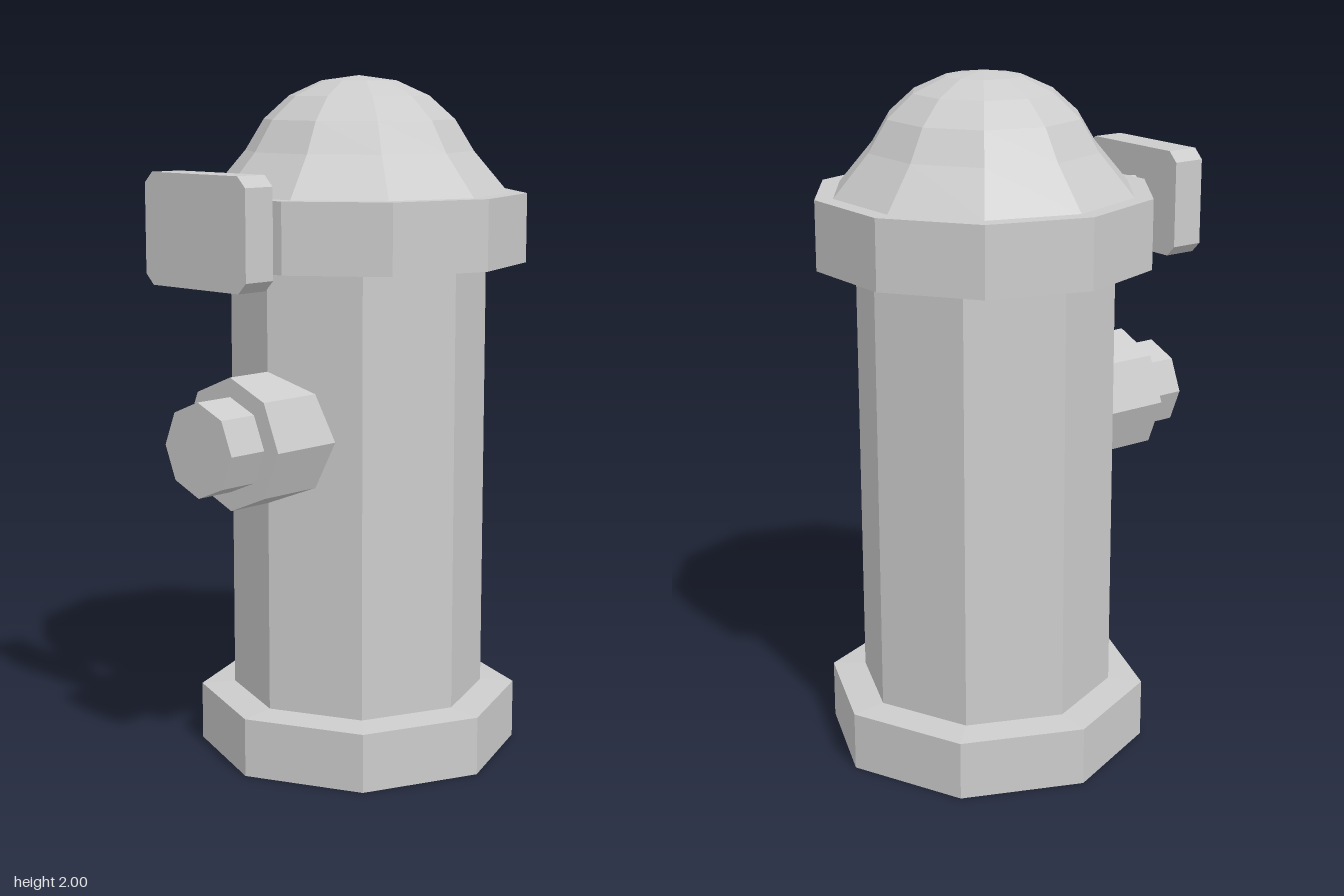
import * as THREE from 'three';

export function createModel() {
  const group = new THREE.Group();
  const axisZ = -0.085; // the barrel sits behind the origin to balance the front fittings
  const solid = new THREE.MeshStandardMaterial({ color: 0xcccccc, flatShading: true });
  const open = new THREE.MeshStandardMaterial({ color: 0xcccccc, flatShading: true, side: THREE.DoubleSide });

  function add(name, geometry, x, y, z, material = solid) {
    const mesh = new THREE.Mesh(geometry, material);
    mesh.name = name;
    mesh.position.set(x, y, z);
    group.add(mesh);
    return mesh;
  }

  // Faceted turning around the barrel axis, with a corner on the x axis
  function turned(name, profile, sides, material) {
    const points = profile.map(([r, y]) => new THREE.Vector2(r, y));
    add(name, new THREE.LatheGeometry(points, sides, Math.PI / 2), 0, 0, axisZ, material);
  }

  // Eight-sided cylinder pointing forward from z0 to z1
  function forward(name, radius, y, z0, z1, turn = 0) {
    const geometry = new THREE.CylinderGeometry(radius, radius, z1 - z0, 8, 1, false, turn);
    geometry.rotateX(Math.PI / 2);
    add(name, geometry, 0, y, (z0 + z1) / 2);
  }

  // Barrel and foot
  turned('base', [[0, 0], [0.475, 0], [0.475, 0.172], [0.37, 0.18]], 8);
  turned('barrel', [[0.375, 0.17], [0.375, 1.665], [0, 1.665]], 8);

  // Hollow rim, open underneath, and the domed cap
  turned('rim', [[0.49, 1.465], [0.49, 1.665], [0.34, 1.665]], 10, open);
  turned('dome', [[0.437, 1.665], [0.335, 1.785], [0.28, 1.875], [0.205, 1.942], [0.11, 1.985], [0, 2]], 10);

  // Front outlet
  forward('outletCollar', 0.19, 0.985, 0.1, 0.435);
  forward('outletCap', 0.135, 0.985, 0.4, 0.557);

  // Front plate with clipped corners on a short stem
  forward('plateStem', 0.083, 1.568, 0.3, 0.47, 0.24);
  const w = 0.2, h = 0.155, c = 0.03;
  const outline = new THREE.Shape([
    [-w + c, -h], [w - c, -h], [w, -h + c], [w, h - c],
    [w - c, h], [-w + c, h], [-w, h - c], [-w, -h + c],
  ].map(([x, y]) => new THREE.Vector2(x, y)));
  add('frontPlate', new THREE.ExtrudeGeometry(outline, { depth: 0.1, bevelEnabled: false }), 0, 1.585, 0.46);

  return group;
}
